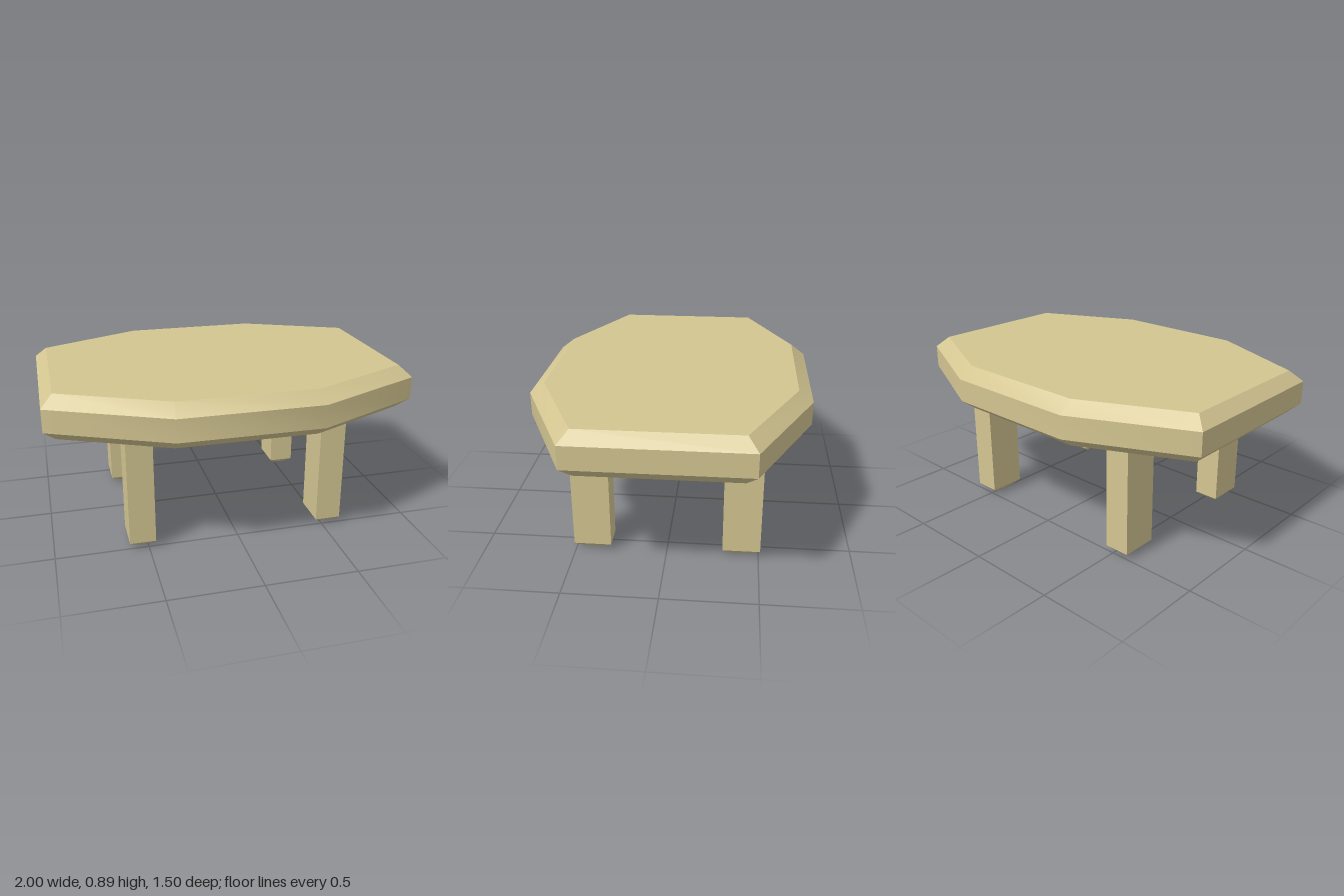
import * as THREE from 'three';
import { toCreasedNormals } from 'three/addons/utils/BufferGeometryUtils.js';

// Skin a stack of matching rings [y, [[x, z], ...]] from bottom to top, with flat caps
function loft(rings) {
  const pos = [];
  const n = rings[0][1].length;
  const put = (r, i) => {
    const [y, pts] = rings[r];
    const [x, z] = pts[i % n];
    pos.push(x, y, z);
  };
  for (let r = 0; r < rings.length - 1; r++) {
    for (let i = 0; i < n; i++) {
      put(r, i); put(r + 1, i); put(r + 1, i + 1);
      put(r, i); put(r + 1, i + 1); put(r, i + 1);
    }
  }
  const top = rings.length - 1;
  for (let i = 1; i < n - 1; i++) {
    put(top, 0); put(top, i + 1); put(top, i);
    put(0, 0); put(0, i); put(0, i + 1);
  }
  const geo = new THREE.BufferGeometry();
  geo.setAttribute('position', new THREE.Float32BufferAttribute(pos, 3));
  return toCreasedNormals(geo, 0.5);
}

// Eight-sided outline: ends at +-X up to +-endZ, long sides at +-Z up to +-sideX
const octagon = (X, endZ, sideX, Z) => [
  [X, -endZ], [X, endZ], [sideX, Z], [-sideX, Z],
  [-X, endZ], [-X, -endZ], [-sideX, -Z], [sideX, -Z],
];

const rectangle = (hx, hz) => [[hx, -hz], [hx, hz], [-hx, hz], [-hx, -hz]];

export function createModel() {
  const group = new THREE.Group();
  group.name = 'table';

  const wood = new THREE.MeshStandardMaterial({ color: 0xd3c591 });
  wood.name = 'pale wood';

  // Tabletop with bevels above and below
  const outer = octagon(1, 0.463, 0.383, 0.75);
  const inner = octagon(0.938, 0.41, 0.375, 0.672);
  const tabletop = new THREE.Mesh(
    loft([[0.645, inner], [0.705, outer], [0.83, outer], [0.89, inner]]), wood);
  tabletop.name = 'tabletop';
  group.add(tabletop);

  // Four legs with tapered feet
  const legShape = loft([
    [0, rectangle(0.036, 0.057)],
    [0.035, rectangle(0.071, 0.102)],
    [0.65, rectangle(0.071, 0.102)],
  ]);
  for (const sx of [1, -1]) {
    for (const sz of [1, -1]) {
      const leg = new THREE.Mesh(legShape, wood);
      leg.name = (sz > 0 ? 'front' : 'back') + (sx > 0 ? 'Left' : 'Right') + 'Leg';
      leg.position.set(sx * 0.532, 0, sz * 0.407);
      group.add(leg);
    }
  }
  return group;
}
